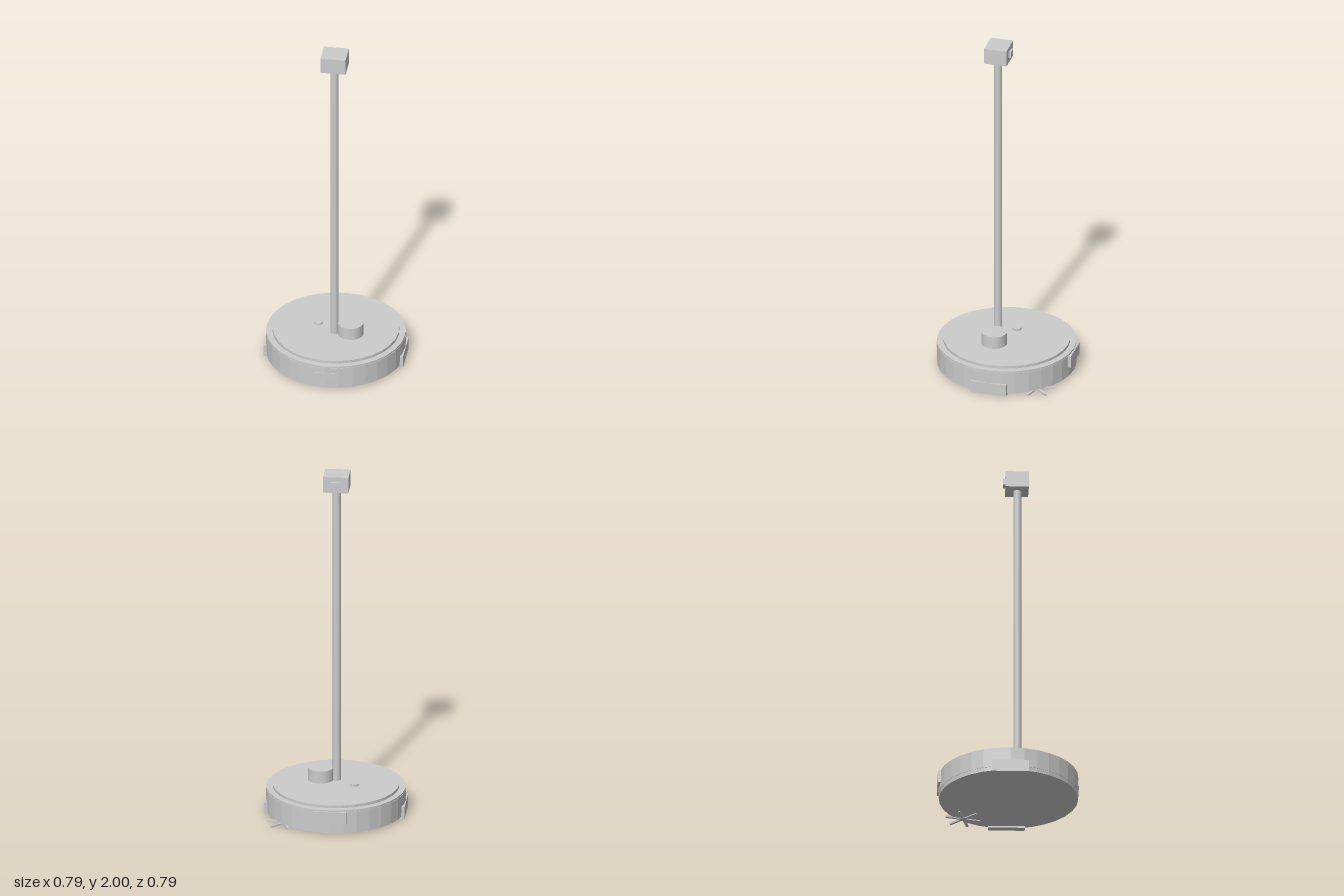
import * as THREE from 'three';

export function createModel() {
  const model = new THREE.Group();
  const smooth = new THREE.MeshStandardMaterial({ color: 0xcccccc });
  const flat = new THREE.MeshStandardMaterial({ color: 0xcccccc, flatShading: true });

  const add = (name, geometry, material, x, y, z, parent = model) => {
    const mesh = new THREE.Mesh(geometry, material);
    mesh.name = name;
    mesh.position.set(x, y, z);
    parent.add(mesh);
    return mesh;
  };
  // Upright cylinder between two heights
  const disc = (name, r, y0, y1, x, z, sides, material) =>
    add(name, new THREE.CylinderGeometry(r, r, y1 - y0, sides), material, x, (y0 + y1) / 2, z);
  // Box given by its limits on each axis
  const block = (name, [x0, x1], [y0, y1], [z0, z1]) =>
    add(name, new THREE.BoxGeometry(x1 - x0, y1 - y0, z1 - z0), flat,
      (x0 + x1) / 2, (y0 + y1) / 2, (z0 + z1) / 2);

  // Round base with bumper band and raised lid
  disc('body', 0.39, 0.01, 0.147, 0, 0, 32, flat);
  disc('bumperBand', 0.392, 0.035, 0.137, 0, 0, 32, flat);
  disc('lid', 0.355, 0.147, 0.163, 0, 0, 32, flat);

  // Turret and button on the lid
  disc('turret', 0.072, 0.163, 0.235, 0.09, 0.048, 32, smooth);
  disc('button', 0.025, 0.163, 0.175, -0.105, -0.03, 24, smooth);

  // Mast with camera head, its lens window facing back
  disc('mast', 0.023, 0.163, 1.91, 0, 0.05, 16, smooth);
  block('cameraHead', [-0.071, 0.071], [1.907, 2], [-0.018, 0.112]);
  block('lensWindow', [-0.025, 0.025], [1.938, 1.972], [-0.03, -0.018]);

  // Wheels on both sides
  for (const side of [-1, 1]) {
    const wheel = block(side > 0 ? 'leftWheel' : 'rightWheel',
      [0.355, 0.395], [0, 0.07], [-0.103, 0.103]);
    wheel.position.x *= side;
  }

  // Dock plate at the back, sensor window at the front
  block('dockPlate', [-0.093, 0.093], [0.068, 0.138], [-0.397, -0.37]);
  block('sensorWindow', [-0.055, 0.055], [0.07, 0.105], [0.37, 0.393]);

  // Six-armed side brush under the rim
  const brush = new THREE.Group();
  brush.name = 'sideBrush';
  brush.position.set(0.265, 0.009, -0.245);
  model.add(brush);
  add('brushHub', new THREE.CylinderGeometry(0.02, 0.02, 0.01, 16), smooth, 0, 0, 0, brush);
  for (let i = 0; i < 6; i++) {
    const angle = Math.PI / 4 + i * Math.PI / 3;
    const arm = add('brushArm', new THREE.BoxGeometry(0.1, 0.01, 0.013), flat,
      0.05 * Math.cos(angle), 0, -0.05 * Math.sin(angle), brush);
    arm.rotation.y = angle;
  }
  return model;
}
